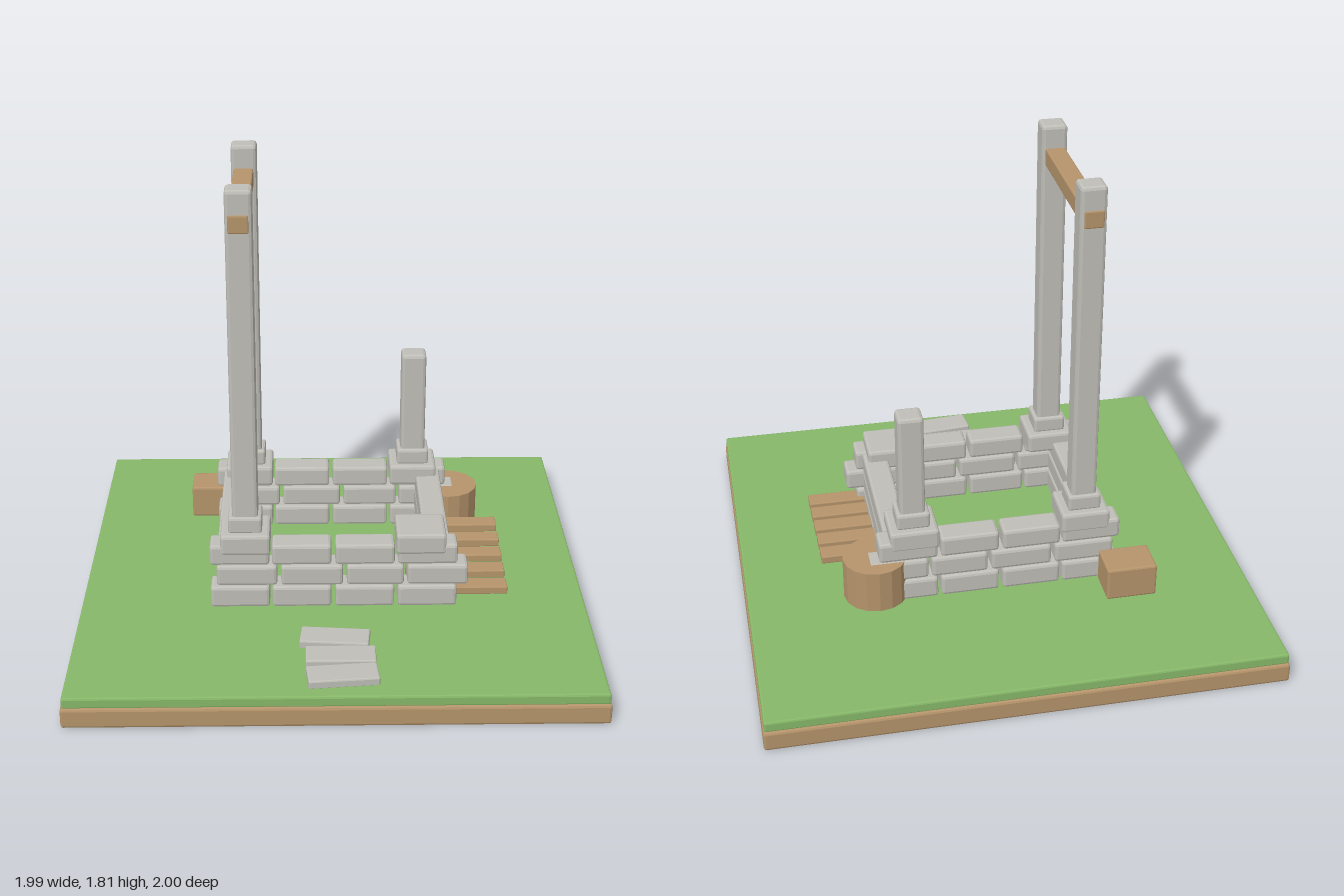
import * as THREE from 'three';
import { RoundedBoxGeometry } from 'three/addons/geometries/RoundedBoxGeometry.js';

const makeMaterial = (name, color) => {
  const m = new THREE.MeshStandardMaterial({ color, flatShading: true });
  m.name = name;
  return m;
};

export function createModel() {
  const model = new THREE.Group();
  model.name = 'ruinedStoneHut';
  const grass = makeMaterial('grass', 0x86b768);
  const stone = makeMaterial('stone', 0xbfbeb7);
  const wood = makeMaterial('wood', 0xb5946b);

  // Bevelled block given by its extents on each axis
  function block(name, material, [x0, x1], [y0, y1], [z0, z1], bevel = 0.01, turn = 0) {
    const geometry = new RoundedBoxGeometry(x1 - x0, y1 - y0, z1 - z0, 1, bevel);
    const mesh = new THREE.Mesh(geometry, material);
    mesh.position.set((x0 + x1) / 2, (y0 + y1) / 2, (z0 + z1) / 2);
    mesh.rotation.y = turn;
    mesh.name = name;
    model.add(mesh);
    return mesh;
  }
  const around = (c, size) => [c - size / 2, c + size / 2];

  // Ground slab
  block('soil', wood, [-0.995, 0.995], [0, 0.08], [-1, 1], 0.01);
  block('lawn', grass, [-0.99, 0.99], [0.075, 0.12], [-0.99, 0.99], 0.008);

  // Front and back walls: three staggered courses of four stones
  const evenCourse = [[-0.48, -0.25], [-0.24, -0.01], [0.005, 0.235], [0.248, 0.478]];
  const oddCourse = [[-0.455, -0.22], [-0.205, 0.035], [0.05, 0.272], [0.285, 0.52]];
  const courses = [[0.137, 0.225], [0.232, 0.316], [0.322, 0.406]];
  for (const z of [-0.342, 0.338]) {
    courses.forEach((y, i) => {
      for (const x of i === 1 ? oddCourse : evenCourse) {
        block('wallStone', stone, x, y, around(z, 0.105), 0.012);
      }
    });
  }

  // Side walls: one long stone per course
  for (const x of [-0.4, 0.4]) {
    for (const y of courses) block('sideWallStone', stone, around(x, 0.1), y, [-0.29, 0.29], 0.01);
  }

  // Corner caps, with a plinth and pillar on three of them
  const corners = [
    [-0.342, 0.3, 1.81],
    [-0.342, -0.302, 1.81],
    [0.337, -0.302, 0.93],
    [0.337, 0.3, 0],
  ];
  for (const [x, z, top] of corners) {
    block('cornerCap', stone, around(x, 0.192), [0.366, 0.45], around(z, 0.188), 0.012);
    if (!top) continue;
    block('plinth', stone, around(x, 0.13), [0.445, 0.512], around(z, 0.125), 0.01);
    block('pillar', stone, around(x, 0.1), [0.45, top], around(z, 0.097), 0.013);
  }

  // Crossbeam passing through both tall pillars
  block('crossbeam', wood, [-0.382, -0.305], [1.65, 1.72], [-0.354, 0.353], 0.006);

  // Ramp of planks through the side wall, rising toward the back
  for (let i = 0; i < 5; i++) {
    const z = 0.303 - i * 0.111;
    block('plank', wood, [0.288, 0.682], around(0.175 + i * 0.01, 0.032), around(z, 0.075), 0.004);
  }

  // Stepping stones
  const steps = [[0, 0.618, -0.09], [0.02, 0.745, 0], [0.025, 0.872, 0.09]];
  for (const [x, z, turn] of steps) {
    block('steppingStone', stone, around(x, 0.262), [0.115, 0.15], around(z, 0.11), 0.006, turn);
  }

  // Crate and barrel
  block('crate', wood, [-0.597, -0.397], [0.13, 0.267], [-0.54, -0.39], 0.008);
  const barrel = new THREE.Mesh(new THREE.CylinderGeometry(0.127, 0.127, 0.175, 16), wood);
  barrel.position.set(0.487, 0.2275, -0.323);
  barrel.name = 'barrel';
  model.add(barrel);

  return model;
}
